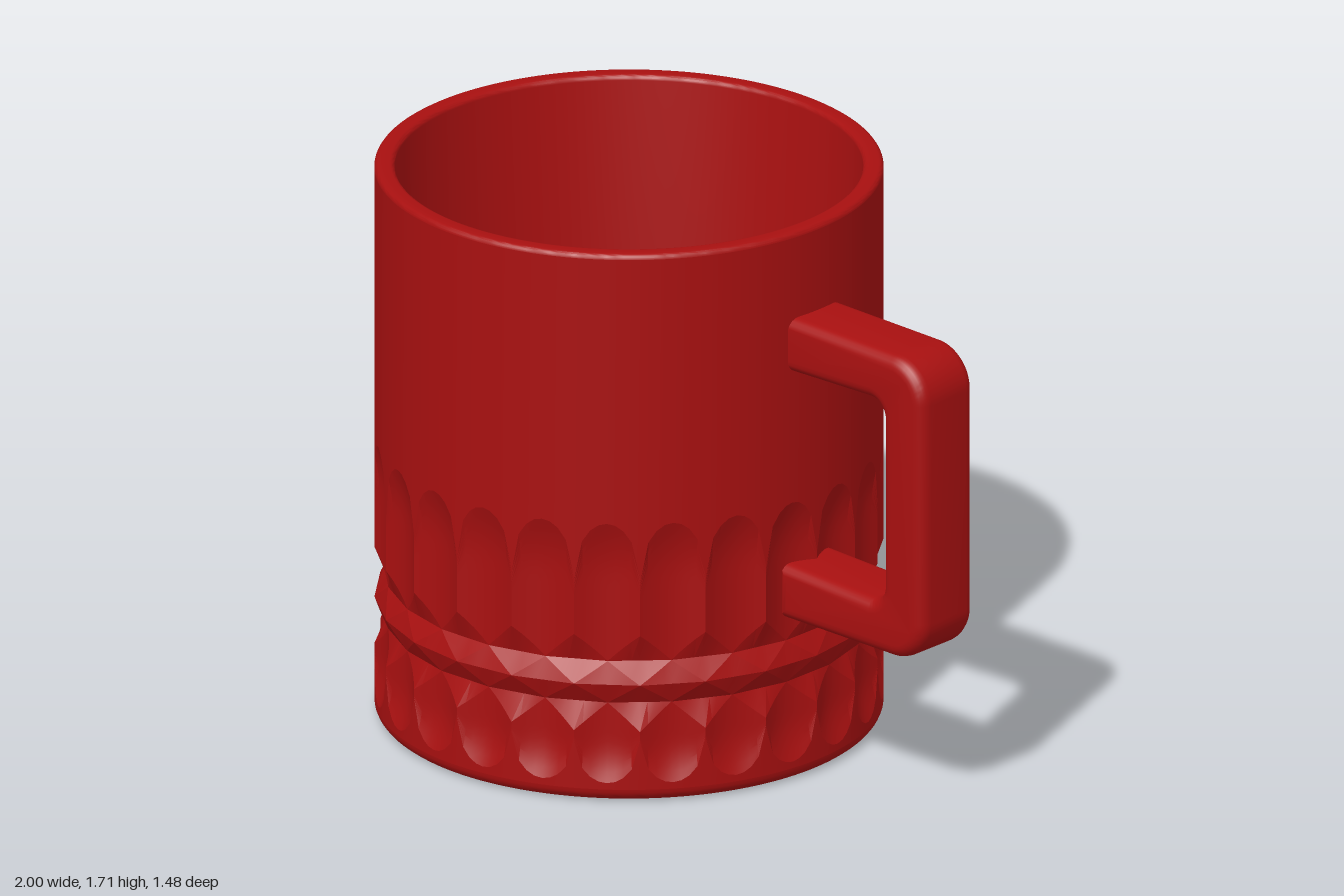
import * as THREE from 'three';
import { toCreasedNormals } from 'three/addons/utils/BufferGeometryUtils.js';

const R = 0.74, VALLEY = 0.71, CUT = R - VALLEY; // wall radius and cut depth
const FLUTES = 24, COLS = 8, TOTAL = FLUTES * COLS;
const HALF = Math.PI / FLUTES; // half a flute, in radians
const lerp = THREE.MathUtils.lerp;

// Wall heights and radii along one vertical line; u runs -1..1 across a flute
function wallColumn(u) {
  const w = Math.abs(u), arch = Math.sqrt(Math.max(0, 1 - u * u));
  const flute = (y, shoulder, reach) => {
    const s = Math.max(0, (y - shoulder) / reach);
    return Math.min(R, VALLEY + CUT * (u * u + s * s));
  };
  const ring = VALLEY * Math.cos(HALF) / Math.cos(HALF * (1 - w));
  const mid = R * Math.cos(HALF) / Math.cos(HALF * w);
  const crease = lerp(VALLEY, R, w);
  const rows = [[0.04, R]];
  // short flutes, arched at the bottom
  for (let i = 0; i <= 8; i++) {
    const y = lerp(0.19 - 0.13 * arch, 0.30 - 0.08 * w, i / 8);
    rows.push([y, flute(y, 0.19, -0.13)]);
  }
  // band of diamond points
  rows.push([0.30, ring], [lerp(0.30, 0.365, w), crease], [0.365, mid],
    [lerp(0.43, 0.365, w), crease], [0.43, ring]);
  // tall flutes, arched at the top
  for (let i = 0; i <= 12; i++) {
    const y = lerp(0.43 + 0.09 * w, 0.70 + 0.17 * arch, i / 12);
    rows.push([y, flute(y, 0.70, 0.17)]);
  }
  rows.push([1.695, R]);
  return rows;
}

function cutWall() {
  const columns = [];
  for (let i = 0; i <= TOTAL; i++) {
    const angle = (i % TOTAL) / TOTAL * Math.PI * 2;
    const u = (i % COLS) / COLS * 2 - 1;
    columns.push(wallColumn(u).map(([y, r]) =>
      new THREE.Vector3(r * Math.sin(angle), y, r * Math.cos(angle))));
  }
  const pos = [];
  const tri = (a, b, c) => {
    const area = b.clone().sub(a).cross(c.clone().sub(a)).length();
    if (area > 1e-8) for (const p of [a, b, c]) pos.push(p.x, p.y, p.z);
  };
  for (let i = 0; i < TOTAL; i++) {
    const a = columns[i], b = columns[i + 1];
    for (let j = 0; j < a.length - 1; j++) {
      tri(a[j], b[j], b[j + 1]);
      tri(a[j], b[j + 1], a[j + 1]);
    }
  }
  const g = new THREE.BufferGeometry();
  g.setAttribute('position', new THREE.Float32BufferAttribute(pos, 3));
  return toCreasedNormals(g, 0.2);
}

// Quarter-circle profile points
function arc(cx, cy, r, from, to, n = 6) {
  return Array.from({ length: n + 1 }, (_, i) => {
    const t = lerp(from, to, i / n) * Math.PI;
    return new THREE.Vector2(cx + r * Math.cos(t), cy + r * Math.sin(t));
  });
}

const turn = (points) => toCreasedNormals(new THREE.LatheGeometry(points, TOTAL), 0.5);

function handleGeometry() {
  const s = new THREE.Shape();
  const x0 = 0.425, r = 0.13, q = 0.05;
  s.moveTo(x0, 0.50);
  s.lineTo(1 - r, 0.495);
  s.absarc(1 - r, 0.495 + r, r, -Math.PI / 2, 0, false);
  s.absarc(1 - r, 1.435 - r, r, 0, Math.PI / 2, false);
  s.lineTo(x0, 1.445);
  s.lineTo(x0, 1.275);
  s.lineTo(0.835 - q, 1.28);
  s.absarc(0.835 - q, 1.28 - q, q, Math.PI / 2, 0, true);
  s.absarc(0.835 - q, 0.655 + q, q, 0, -Math.PI / 2, true);
  s.lineTo(x0, 0.67);
  s.closePath();
  const bevel = 0.04, width = 0.23;
  const g = new THREE.ExtrudeGeometry(s, {
    depth: width - 2 * bevel, curveSegments: 10, bevelEnabled: true,
    bevelThickness: bevel, bevelSize: bevel, bevelOffset: -bevel, bevelSegments: 5,
  });
  g.translate(0, 0, bevel - width / 2);
  return toCreasedNormals(g, 0.6);
}

export function createModel() {
  const group = new THREE.Group();
  const material = new THREE.MeshStandardMaterial({ color: 0xa81010 });
  const add = (name, geometry, x = 0) => {
    const mesh = new THREE.Mesh(geometry, material);
    mesh.name = name;
    mesh.position.x = x;
    group.add(mesh);
  };
  const V = (x, y) => new THREE.Vector2(x, y);
  const cupX = -0.26;

  add('cutWall', cutWall(), cupX);
  // rim, inner wall and rounded floor
  add('rimAndInside', turn([
    ...arc(R - 0.015, 1.695, 0.015, 0, 0.5, 4),
    ...arc(0.695, 1.695, 0.015, 0.5, 1, 4),
    ...arc(0.58, 0.22, 0.1, 0, -0.5, 8),
    V(0, 0.12),
  ]), cupX);
  // underside with shallow recess and rounded foot
  add('base', turn([
    V(0, 0.03), V(0.58, 0.03), V(0.61, 0.02), V(0.63, 0),
    ...arc(R - 0.04, 0.04, 0.04, -0.5, 0),
  ]), cupX);
  add('handle', handleGeometry());
  return group;
}
